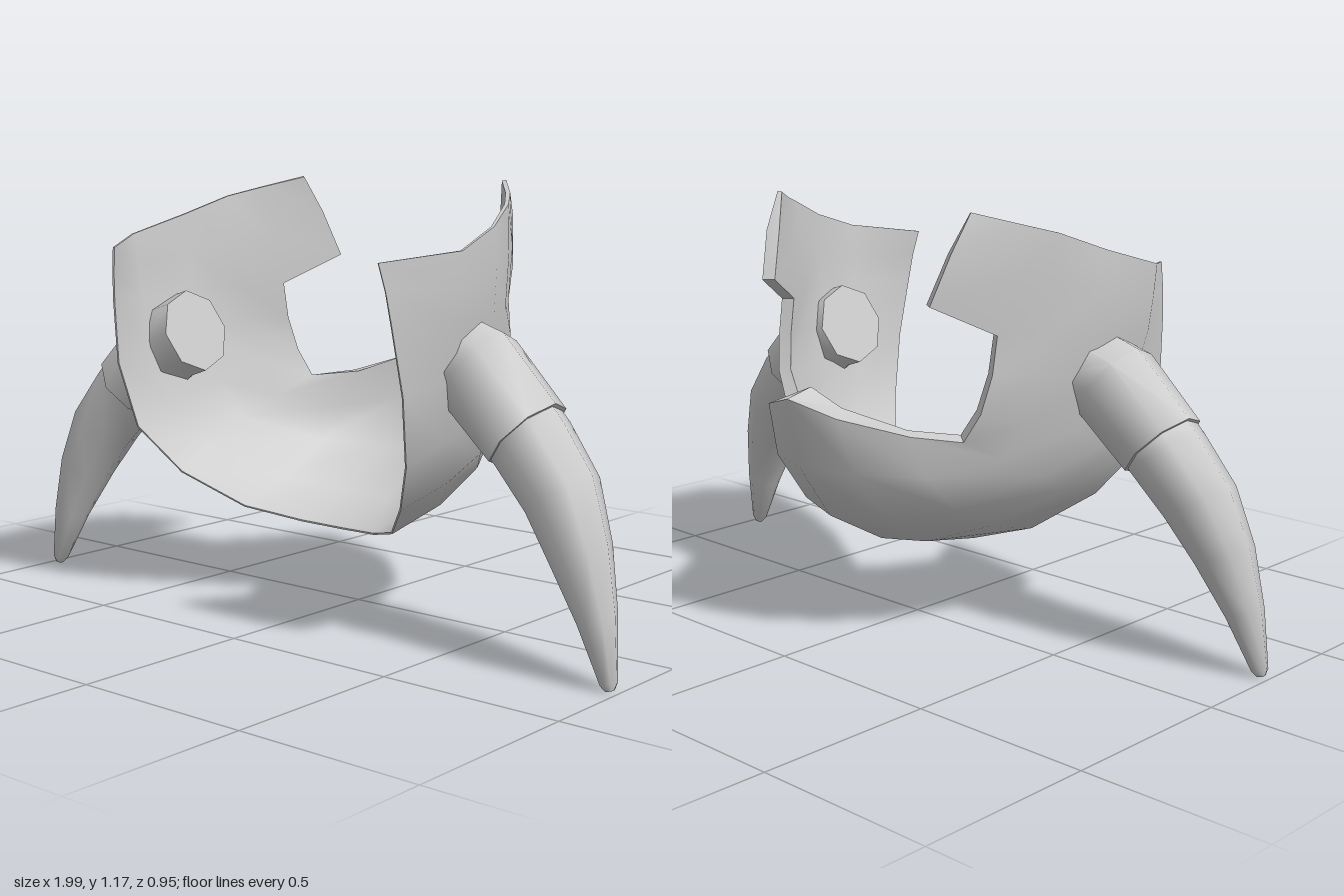
import * as THREE from 'three';
import { toCreasedNormals } from 'three/addons/utils/BufferGeometryUtils.js';

const material = new THREE.MeshStandardMaterial({ color: 0xcccccc, side: THREE.DoubleSide });

// Indexed geometry from vectors and triangles
function indexed(points, tris) {
  const g = new THREE.BufferGeometry();
  g.setAttribute('position', new THREE.Float32BufferAttribute(points.flatMap(p => p.toArray()), 3));
  g.setIndex(tris.flat());
  return g;
}

function mesh(name, points, tris) {
  const m = new THREE.Mesh(toCreasedNormals(indexed(points, tris), 0.85), material);
  m.name = name;
  return m;
}

// Half of the shell: strips from the bottom centre up to the side,
// each running from the front edge to the back edge
const strips = [
  [[0, .215, .07], [0, .245, -.14], [0, .35, -.33], [0, .5, -.435], [0, .69, -.475]],
  [[.13, .222, .09], [.14, .26, -.11], [.15, .36, -.28], [.15, .5, -.38], [.13, .65, -.425]],
  [[.265, .26, .18], [.28, .31, -.01], [.29, .39, -.16], [.28, .49, -.25], [.255, .6, -.285]],
  [[.39, .36, .3], [.42, .41, .15], [.43, .47, .02], [.395, .53, -.09], [.34, .582, -.18]],
  [[.475, .49, .385], [.495, .54, .25], [.485, .59, .08], [.44, .63, -.06], [.385, .66, -.165]],
  [[.5, .67, .43], [.53, .7, .27], [.515, .73, .11], [.47, .75, -.03], [.405, .76, -.145]],
];
// Upper strips carry one more point for the flap behind the notch
const flapStrips = [
  [[.485, .84, .455], [.56, .84, .29], [.54, .85, .12], [.483, .86, -.01], [.407, .86, -.13], [.315, .94, -.28]],
  [[.475, .92, .465], [.57, .93, .295], [.55, .96, .125], [.495, .99, -.005], [.435, 1, -.105], [.345, 1.07, -.235]],
  [[.46, .99, .475], [.575, 1.015, .3], [.545, 1.065, .13], [.495, 1.115, 0], [.44, 1.14, -.085], [.36, 1.17, -.18]],
];
// Full thickness of each strip: a heavy lip at the back centre, thin sides
const thickness = [.085, .08, .06, .04, .035, .035, .035, .035, .012];

function shell() {
  const half = [...strips, ...flapStrips];
  const last = half.length - 1;
  const outer = [], depth = [], id = [];
  for (let i = -last; i <= last; i++) {
    const n = Math.abs(i);
    id.push(half[n].map(([x, y, z], j) => {
      outer.push(new THREE.Vector3(i < 0 ? -x : x, y, z));
      depth.push(.005 + (thickness[n] - .005) * Math.min(j, 4) / 4);
      return outer.length - 1;
    }));
  }
  const tris = [];
  for (let i = 0; i < id.length - 1; i++) {
    const cols = Math.min(id[i].length, id[i + 1].length);
    for (let j = 0; j < cols - 1; j++) {
      const a = id[i][j], b = id[i][j + 1], c = id[i + 1][j + 1], d = id[i + 1][j];
      if (i < last) tris.push([a, b, c], [a, c, d]);
      else tris.push([a, b, d], [b, c, d]);
    }
  }
  // Inner skin: every point pushed in along its normal
  const sheet = indexed(outer, tris);
  sheet.computeVertexNormals();
  const normals = sheet.getAttribute('normal');
  const inner = outer.map((p, k) => {
    const nrm = new THREE.Vector3().fromBufferAttribute(normals, k);
    return p.clone().addScaledVector(nrm, -depth[k]);
  });
  const N = outer.length;
  const all = [...tris, ...tris.map(([a, b, c]) => [a + N, c + N, b + N])];
  // Rim wall along every open edge
  const edges = new Set(tris.flatMap(([a, b, c]) => [`${a},${b}`, `${b},${c}`, `${c},${a}`]));
  for (const e of edges) {
    const [p, q] = e.split(',').map(Number);
    if (!edges.has(`${q},${p}`)) all.push([q, p, p + N], [q, p + N, q + N]);
  }
  return mesh('shell', [...outer, ...inner], all);
}

// Closed eight-sided tube through rings of [x, y, z, radius], on side +1 or -1
function loft(name, rings, side) {
  const sides = 8, points = [], tris = [];
  rings.forEach(([x, y, z, r], k) => {
    const p = rings[Math.max(k - 1, 0)], q = rings[Math.min(k + 1, rings.length - 1)];
    const t = new THREE.Vector2(q[0] - p[0], q[1] - p[1]).normalize();
    for (let j = 0; j < sides; j++) {
      const a = j / sides * Math.PI * 2, u = r * Math.cos(a);
      points.push(new THREE.Vector3(side * (x - t.y * u), y + t.x * u, z + r * Math.sin(a)));
    }
  });
  const end = (rings.length - 1) * sides;
  for (let k = 0; k < end; k += sides) {
    for (let j = 0; j < sides; j++) {
      const a = k + j, b = k + (j + 1) % sides;
      tris.push([a, b, b + sides], [a, b + sides, a + sides]);
    }
  }
  for (let j = 1; j < sides - 1; j++) {
    tris.push([0, j + 1, j], [end, end + j, end + j + 1]);
  }
  return mesh(name, points, side > 0 ? tris : tris.map(([a, b, c]) => [a, c, b]));
}

export function createModel() {
  const model = new THREE.Group();
  model.name = 'hornedShell';
  model.add(shell());

  for (const side of [1, -1]) {
    const horn = new THREE.Group();
    horn.name = side > 0 ? 'leftHorn' : 'rightHorn';
    horn.add(
      // The socket passes through the shell and ends in a flat cap inside
      loft('hornSocket', [[.45, .742, .178, .117], [.54, .712, .18, .123], [.692, .57, .188, .116]], side),
      loft('hornSpike', [
        [.66, .6, .189, .108], [.71, .55, .191, .107], [.805, .44, .203, .1],
        [.872, .31, .222, .08], [.93, .165, .237, .051], [.973, .02, .25, .022], [.977, .005, .251, .012],
      ], side),
    );
    model.add(horn);
  }
  return model;
}
